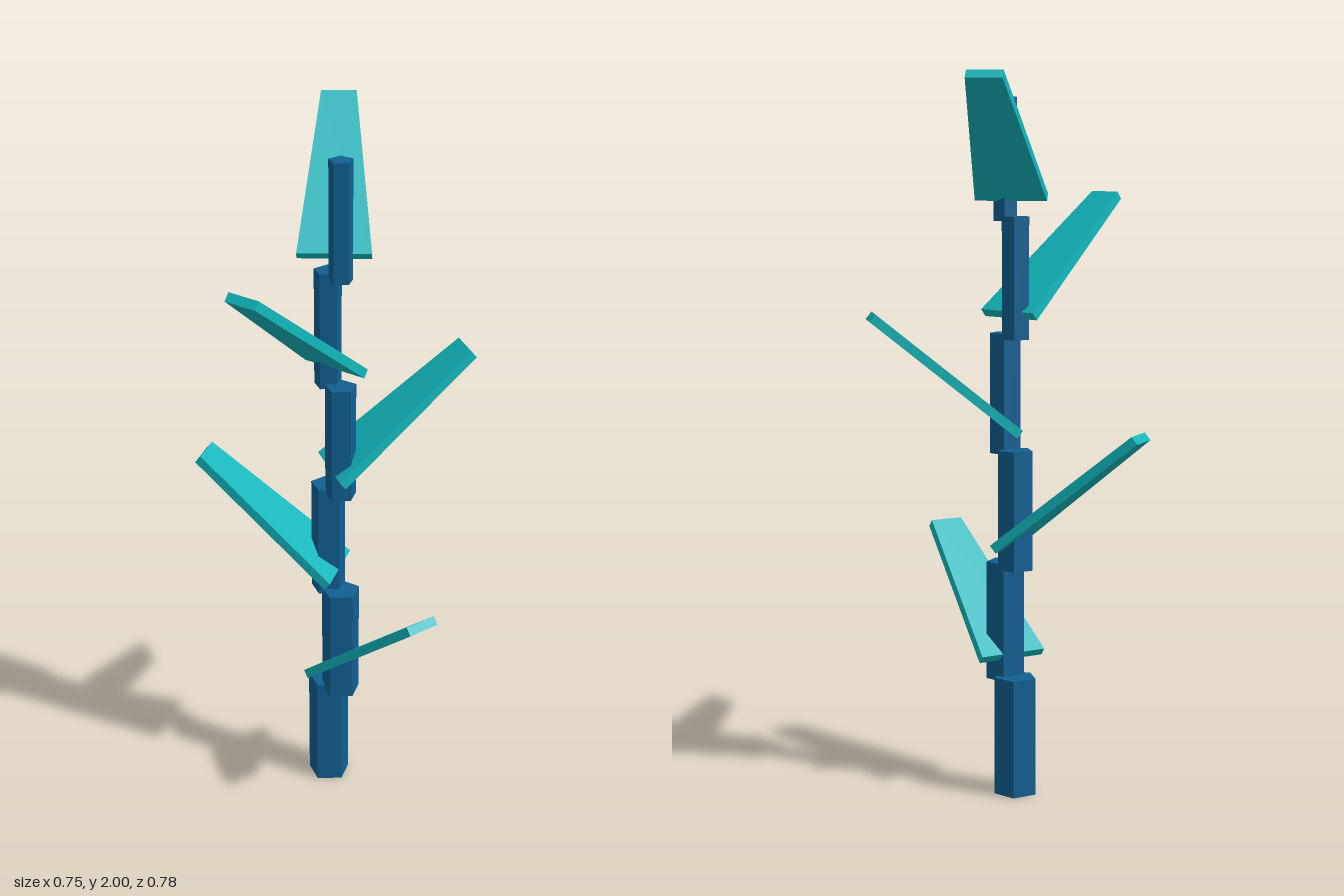
import * as THREE from 'three';

const AXIS_X = -0.022, AXIS_Z = -0.004;

// Tapered slab that starts at the origin and climbs outward along +x
function leafGeometry() {
  const length = 0.508, thickness = 0.026, baseWidth = 0.2, tipScale = 0.485;
  const geo = new THREE.BoxGeometry(length, thickness, baseWidth);
  geo.translate(length / 2, thickness / 2, 0);
  const pos = geo.attributes.position;
  for (let i = 0; i < pos.count; i++) {
    if (pos.getX(i) > length / 2) pos.setZ(i, pos.getZ(i) * tipScale);
  }
  geo.rotateZ(0.68);
  geo.computeVertexNormals();
  return geo;
}

export function createModel() {
  const group = new THREE.Group();
  group.name = 'plant';
  const stemBlue = new THREE.MeshStandardMaterial({ name: 'stemBlue', color: 0x115f92, flatShading: true });
  const leafTeal = new THREE.MeshStandardMaterial({ name: 'leafTeal', color: 0x11b5bb, flatShading: true });

  // Stem: six five-sided segments, thinning upward and stepping side to side
  const height = 0.335;
  for (let i = 0; i < 6; i++) {
    const radius = 0.061 - i * 0.0054;
    const geo = new THREE.CylinderGeometry(radius, radius, height, 5, 1, false, Math.PI / 2);
    const segment = new THREE.Mesh(geo, stemBlue);
    segment.name = `stemSegment${i + 1}`;
    segment.position.set(AXIS_X + (i % 2 ? 0.028 : -0.028), i * 0.321 + height / 2, AXIS_Z);
    group.add(segment);
  }

  // Leaves: one per joint, spiralling up the stem
  const leafGeo = leafGeometry();
  for (let i = 0; i < 5; i++) {
    const leaf = new THREE.Mesh(leafGeo, leafTeal);
    leaf.name = `leaf${i + 1}`;
    leaf.position.set(AXIS_X, 0.38 + i * 0.32, AXIS_Z);
    leaf.rotation.y = -THREE.MathUtils.degToRad(145 * i);
    group.add(leaf);
  }
  return group;
}
